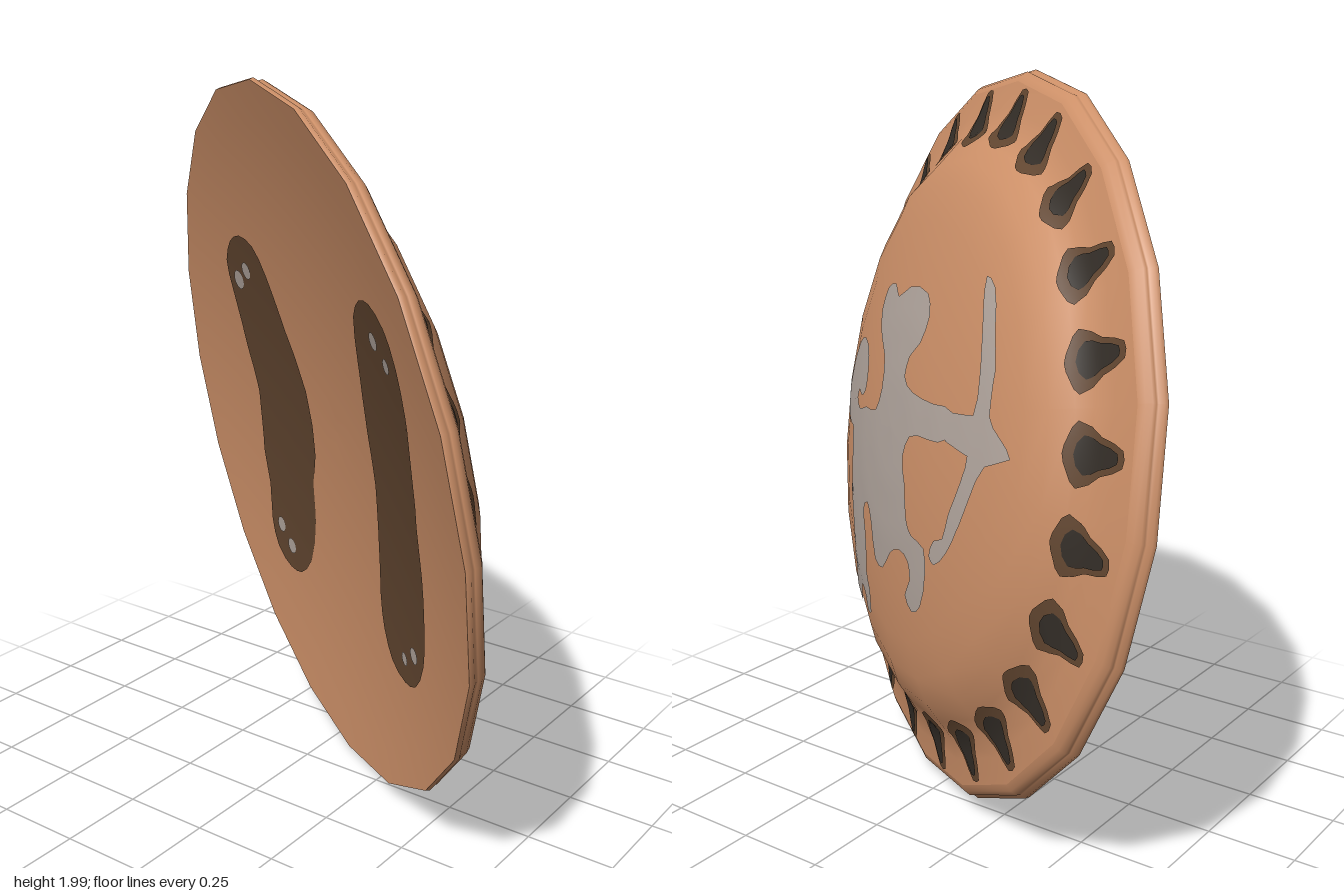
import * as THREE from 'three';

const SIDES = 20, WIDE = 1.02;
const mat = (name, color) => {
  const m = new THREE.MeshStandardMaterial({ color });
  m.name = name;
  return m;
};

// Shield frame: local x = across, y = out of the dome, z = up the shield
const UP = new THREE.Vector3(-0.08, 0.985, 0.123).normalize();
const ACROSS = new THREE.Vector3(0.838, 0, 0.546).normalize();
const OUT = new THREE.Vector3().crossVectors(UP, ACROSS).normalize();

// Cross-sections as [radius, height], from the middle outward
const DOME = [[0, 0.272], [0.15, 0.269], [0.3, 0.258], [0.45, 0.238], [0.58, 0.215], [0.68, 0.188], [0.75, 0.156],
  [0.8, 0.115], [0.84, 0.083], [0.9, 0.064], [0.97, 0.047]];
const RIM = [[1.004, -0.012], [1.007, 0], [0.997, 0.01], [0.997, 0.015], [0.998, 0.024], [0.987, 0.038], [0.97, 0.047]];
const BOWL = Array.from({ length: 11 }, (_, i) => [0.1004 * i, 0.09 - 0.00102 * i * i]);

// Height of a cross-section at a radius
function heightAt(profile, r) {
  let i = 1;
  while (i < profile.length - 1 && profile[i][0] < r) i++;
  const [r0, h0] = profile[i - 1], [r1, h1] = profile[i];
  return h0 + ((h1 - h0) * (r - r0)) / (r1 - r0);
}

// Radius measured along the 20-sided rings
function ringRadius(x, z) {
  const step = (2 * Math.PI) / SIDES, wx = x / WIDE;
  const fromMiddle = ((Math.atan2(wx, z) + 2 * Math.PI) % step) - step / 2;
  return (Math.hypot(wx, z) * Math.cos(fromMiddle)) / Math.cos(step / 2);
}

// Point and normal on a surface; side is 1 for the dome, -1 for the bowl
function onSurface(profile, x, z, lift, side) {
  const r = ringRadius(x, z), d = 0.04, lo = Math.max(0, r - d);
  const slope = (heightAt(profile, r + d) - heightAt(profile, lo)) / (r + d - lo);
  const len = Math.hypot(x, z) || 1;
  return {
    at: [x, heightAt(profile, r) + side * lift, z],
    n: new THREE.Vector3((-slope * x) / len, 1, (-slope * z) / len).multiplyScalar(side),
  };
}

// Smooth closed outline
function outline(points, perPoint = 2) {
  const curve = new THREE.CatmullRomCurve3(points.map(([x, y]) => new THREE.Vector3(x, y, 0)), true, 'centripetal');
  const pts = curve.getPoints(points.length * perPoint).slice(0, -1);
  return new THREE.Shape(pts.map((p) => new THREE.Vector2(p.x, p.y)));
}

// Painted patch: triangulate a shape, split it finely and lay it on a surface
function patch(shape, levels, place) {
  const flat = new THREE.ShapeGeometry(shape, 10).toNonIndexed().attributes.position;
  let pts = [];
  for (let i = 0; i < flat.count; i++) pts.push([flat.getX(i), flat.getY(i)]);
  const mid = (p, q) => [(p[0] + q[0]) / 2, (p[1] + q[1]) / 2];
  for (let l = 0; l < levels; l++) {
    const next = [];
    for (let i = 0; i < pts.length; i += 3) {
      const [a, b, c] = [pts[i], pts[i + 1], pts[i + 2]];
      const ab = mid(a, b), bc = mid(b, c), ca = mid(c, a);
      next.push(a, ab, ca, ab, b, bc, ca, bc, c, ab, bc, ca);
    }
    pts = next;
  }
  const position = [], normal = [];
  for (const p of pts) {
    const { at, n } = place(p);
    position.push(...at);
    normal.push(...n.normalize().toArray());
  }
  const g = new THREE.BufferGeometry();
  g.setAttribute('position', new THREE.Float32BufferAttribute(position, 3));
  g.setAttribute('normal', new THREE.Float32BufferAttribute(normal, 3));
  return g;
}

// Figure outlines are drawn at a slant from below, then cast onto the dome
function fromSlant([px, py]) {
  const a = px / 183, b = py / 183;
  let x = 0, z = 0;
  for (let i = 0; i < 12; i++) {
    const h = heightAt(DOME, Math.hypot(x, z));
    x = -(a - 0.119 * h + 0.018 * z) / 0.993;
    z = (b - 0.575 * h - 0.055 * x) / 0.812;
  }
  return onSurface(DOME, x, z, 0.004, 1);
}

// Inner side markings are drawn in front-facing x, y and cast into the bowl
const inBowl = (lift) => ([px, py]) => {
  let x = 0, z = 0;
  for (let i = 0; i < 12; i++) {
    const h = heightAt(BOWL, Math.hypot(x, z));
    z = (py - 1 - h * OUT.y) / UP.y;
    x = (px - h * OUT.x - UP.x * z) / ACROSS.x;
  }
  return onSurface(BOWL, x, z, lift, -1);
};

const ARCHER = [
  [-106, 27], [-98, 44], [-83, 54], [-65, 54], [-53, 45], [-52, 36], [-62, 32], [-70, 33], [-71, 29], [-62, 26],
  [-45, 30], [-25, 32], [-19, 42], [-25, 55], [-40, 63], [-49, 71], [-46, 80], [-33, 83], [-23, 79], [-8, 84],
  [18, 83], [27, 75], [24, 65], [14, 59], [13, 51], [27, 46], [52, 44], [72, 42], [72, 32], [52, 30],
  [32, 29], [26, 20], [32, 10], [38, -5], [46, -11], [60, -14], [63, -25], [58, -40], [47, -45], [39, -39],
  [45, -31], [42, -23], [30, -20], [18, -24], [6, -34], [-8, -33], [-16, -18], [-25, -10], [-33, -15], [-29, -25],
  [-26, -37], [-28, -44], [-21, -53], [-23, -65], [-31, -66], [-34, -58], [-43, -56], [-47, -65], [-54, -69],
  [-60, -63], [-55, -47], [-61, -30], [-68, -14], [-72, 4], [-77, 14], [-86, 14], [-97, 16],
];
const BOW = [
  [71, 90], [80, 86], [90, 73], [99, 58], [103, 42], [112, 35], [122, 27], [106, 24], [98, 12], [92, 0], [83, -12],
  [72, -19], [66, -16], [70, -9], [78, -7], [82, 4], [89, 17], [91, 27], [70, 31], [70, 42], [90, 42], [88, 56],
  [83, 68], [76, 80],
];
const STRAPS = [
  [[-0.54, 1.3], [-0.55, 1.4], [-0.5, 1.47], [-0.43, 1.5], [-0.35, 1.48], [-0.29, 1.4], [-0.22, 1.25], [-0.13, 1.08],
    [-0.11, 0.88], [-0.14, 0.78], [-0.14, 0.65], [-0.18, 0.5], [-0.25, 0.43], [-0.32, 0.42], [-0.4, 0.46],
    [-0.44, 0.55], [-0.44, 0.67], [-0.465, 0.78], [-0.46, 0.98], [-0.5, 1.12]],
  [[0.27, 1.3], [0.29, 1.43], [0.35, 1.49], [0.42, 1.5], [0.49, 1.46], [0.54, 1.37], [0.555, 1.25], [0.55, 0.95],
    [0.565, 0.75], [0.55, 0.55], [0.5, 0.46], [0.43, 0.43], [0.35, 0.45], [0.3, 0.52], [0.28, 0.62], [0.29, 0.95],
    [0.27, 1.1]],
];
const RIVETS = [
  [-0.48, 1.35, 0.03], [-0.42, 1.39, 0.027], [-0.37, 0.55, 0.025], [-0.305, 0.5, 0.025],
  [0.41, 1.4, 0.024], [0.475, 1.355, 0.02], [0.495, 0.55, 0.022], [0.435, 0.505, 0.018],
];
// Tooth outlines as [sideways, radius]: broad end inward, tip outward
const TOOTH = [[-0.02, 0.95], [-0.045, 0.88], [-0.078, 0.82], [-0.04, 0.8], [0, 0.79], [0.04, 0.8], [0.078, 0.82], [0.045, 0.88], [0.02, 0.95]];
const TOOTH_CORE = [[-0.012, 0.935], [-0.03, 0.88], [-0.046, 0.835], [0, 0.815], [0.046, 0.835], [0.03, 0.88], [0.012, 0.935]];

export function createModel() {
  const tan = mat('tan leather', 0xcd9068);
  const brown = mat('dark brown', 0x624630);
  const black = mat('charcoal', 0x332d27);
  const grey = mat('grey paint', 0xb0a49c);

  const shield = new THREE.Group();
  shield.name = 'shield';
  const add = (name, geometry, material, parent = shield) => {
    const mesh = new THREE.Mesh(geometry, material);
    mesh.name = name;
    parent.add(mesh);
  };
  const lathe = (pts) =>
    new THREE.LatheGeometry(pts.map(([r, h]) => new THREE.Vector2(r, h)), SIDES).scale(WIDE, 1, 1);

  // Body: hollow inner side, thin grooved rim, dome with a flatter flange
  add('dome', lathe([...DOME].reverse()), tan);
  add('rim', lathe(RIM), tan);
  add('innerBowl', lathe(BOWL), tan);

  // Painted figure on the dome
  add('paintedArcher', patch(outline(ARCHER), 3, fromSlant), grey);
  add('paintedBow', patch(outline(BOW), 3, fromSlant), grey);

  // Ring of painted teeth
  const teeth = new THREE.Group();
  teeth.name = 'paintedTeeth';
  shield.add(teeth);
  for (let i = 0; i < 24; i++) {
    const a = THREE.MathUtils.degToRad(10.3 + 15 * i), s = Math.sin(a), c = Math.cos(a);
    const place = (lift) => ([t, r]) => onSurface(DOME, r * s - t * c, r * c + t * s, lift, 1);
    add('tooth', patch(outline(TOOTH), 2, place(0.004)), brown, teeth);
    add('toothCore', patch(outline(TOOTH_CORE), 2, place(0.007)), black, teeth);
  }

  // Straps and rivets on the inner side
  STRAPS.forEach((s) => add('strap', patch(outline(s), 3, inBowl(0.003)), brown));
  for (const [x, y, r] of RIVETS) {
    add('rivet', patch(new THREE.Shape().absarc(x, y, r, 0, Math.PI * 2), 0, inBowl(0.006)), grey);
  }

  // Lean the shield into place
  shield.quaternion.setFromRotationMatrix(new THREE.Matrix4().makeBasis(ACROSS, OUT, UP));
  shield.position.set(0, 1, 0);
  const model = new THREE.Group();
  model.name = 'roundShield';
  model.add(shield);
  return model;
}
